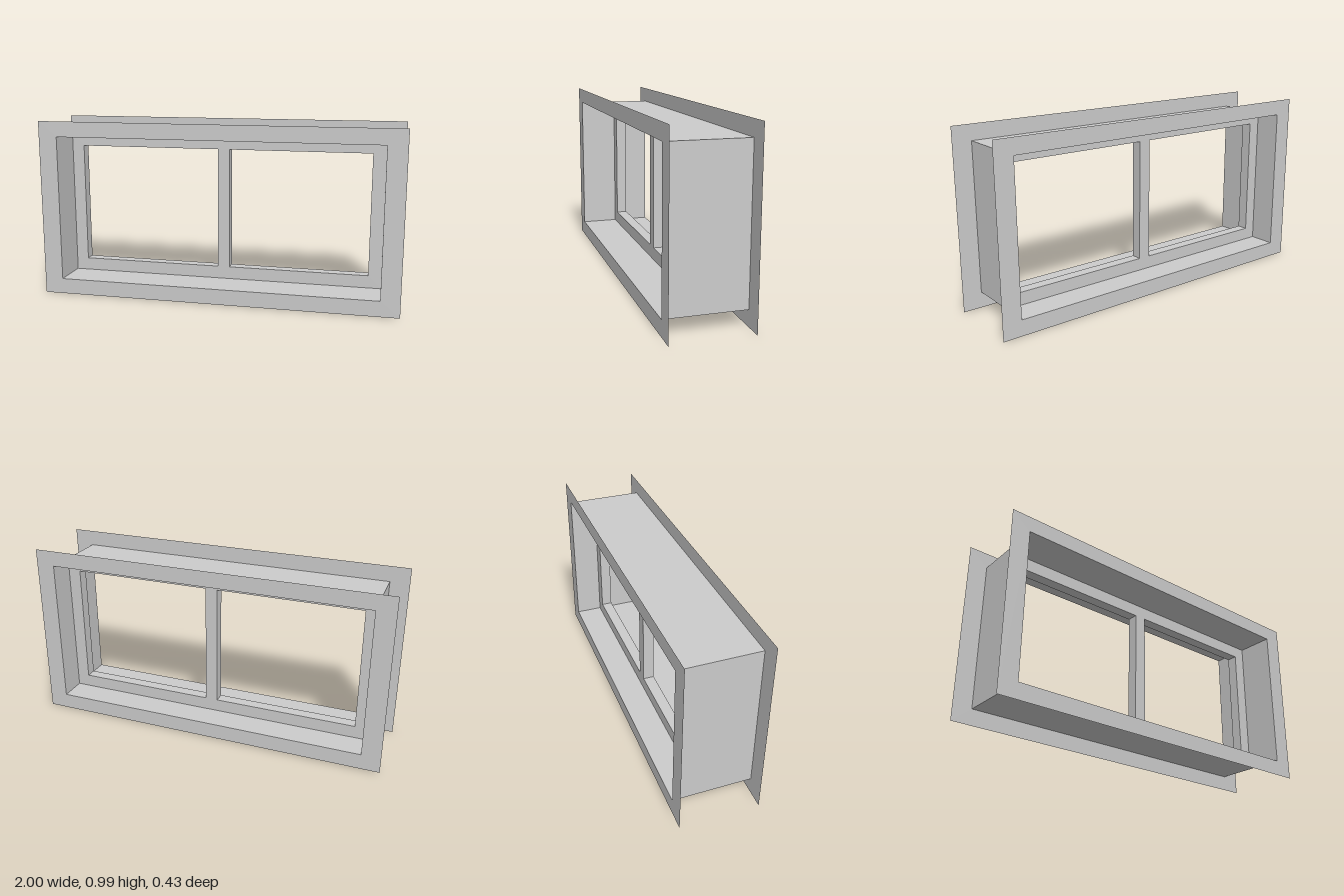
import * as THREE from 'three';

const material = new THREE.MeshStandardMaterial({ color: 0xcccccc, side: THREE.DoubleSide });

// Main dimensions: the casing opening, its depth, and the inner sash
const W = 0.895, BOTTOM = 0.087, TOP = 0.904, HALF_DEPTH = 0.215;
const SASH_BACK = -0.062, SASH_FRONT = 0;
const GLASS_BOTTOM = 0.157, GLASS_TOP = 0.834;

// Traces a closed rectangle on a Shape or Path
function rect(path, x0, y0, x1, y1) {
  path.moveTo(x0, y0);
  path.lineTo(x1, y0);
  path.lineTo(x1, y1);
  path.lineTo(x0, y1);
  path.closePath();
  return path;
}

// Rectangle with rectangular openings
function framed(outer, holes) {
  const shape = rect(new THREE.Shape(), ...outer);
  for (const h of holes) shape.holes.push(rect(new THREE.Path(), ...h));
  return shape;
}

function addMesh(parent, name, geometry) {
  const mesh = new THREE.Mesh(geometry, material);
  mesh.name = name;
  parent.add(mesh);
  return mesh;
}

export function createModel() {
  const model = new THREE.Group();
  model.name = 'window';

  // Flat trim sheets on the front and back
  const trim = framed([-1, 0, 1, 0.99], [[-W, BOTTOM, W, TOP]]);
  for (const side of [1, -1]) {
    const sheet = addMesh(model, side > 0 ? 'frontTrim' : 'backTrim', new THREE.ShapeGeometry(trim));
    sheet.position.z = side * HALF_DEPTH;
    // Mirror-symmetric, so turning it makes the back sheet face outward
    if (side < 0) sheet.rotation.y = Math.PI;
  }

  // Thin casing walls joining the two trims
  const casing = new THREE.Group();
  casing.name = 'casing';
  model.add(casing);
  const midY = (BOTTOM + TOP) / 2;
  for (const side of [1, -1]) {
    const jamb = addMesh(casing, side > 0 ? 'leftJamb' : 'rightJamb',
      new THREE.PlaneGeometry(2 * HALF_DEPTH, TOP - BOTTOM));
    jamb.rotation.y = side * Math.PI / 2;
    jamb.position.set(side * W, midY, 0);

    const board = addMesh(casing, side > 0 ? 'head' : 'sill',
      new THREE.PlaneGeometry(2 * W, 2 * HALF_DEPTH));
    board.rotation.x = -side * Math.PI / 2;
    board.position.y = side > 0 ? TOP : BOTTOM;
  }

  // Sash with two openings, divided by a slightly off-centre mullion
  const sash = framed([-W, BOTTOM, W, TOP], [
    [-0.826, GLASS_BOTTOM, -0.026, GLASS_TOP],
    [0.042, GLASS_BOTTOM, 0.824, GLASS_TOP],
  ]);
  addMesh(model, 'sash', new THREE.ExtrudeGeometry(sash, {
    depth: SASH_FRONT - SASH_BACK, bevelEnabled: false,
  })).position.z = SASH_BACK;

  return model;
}
